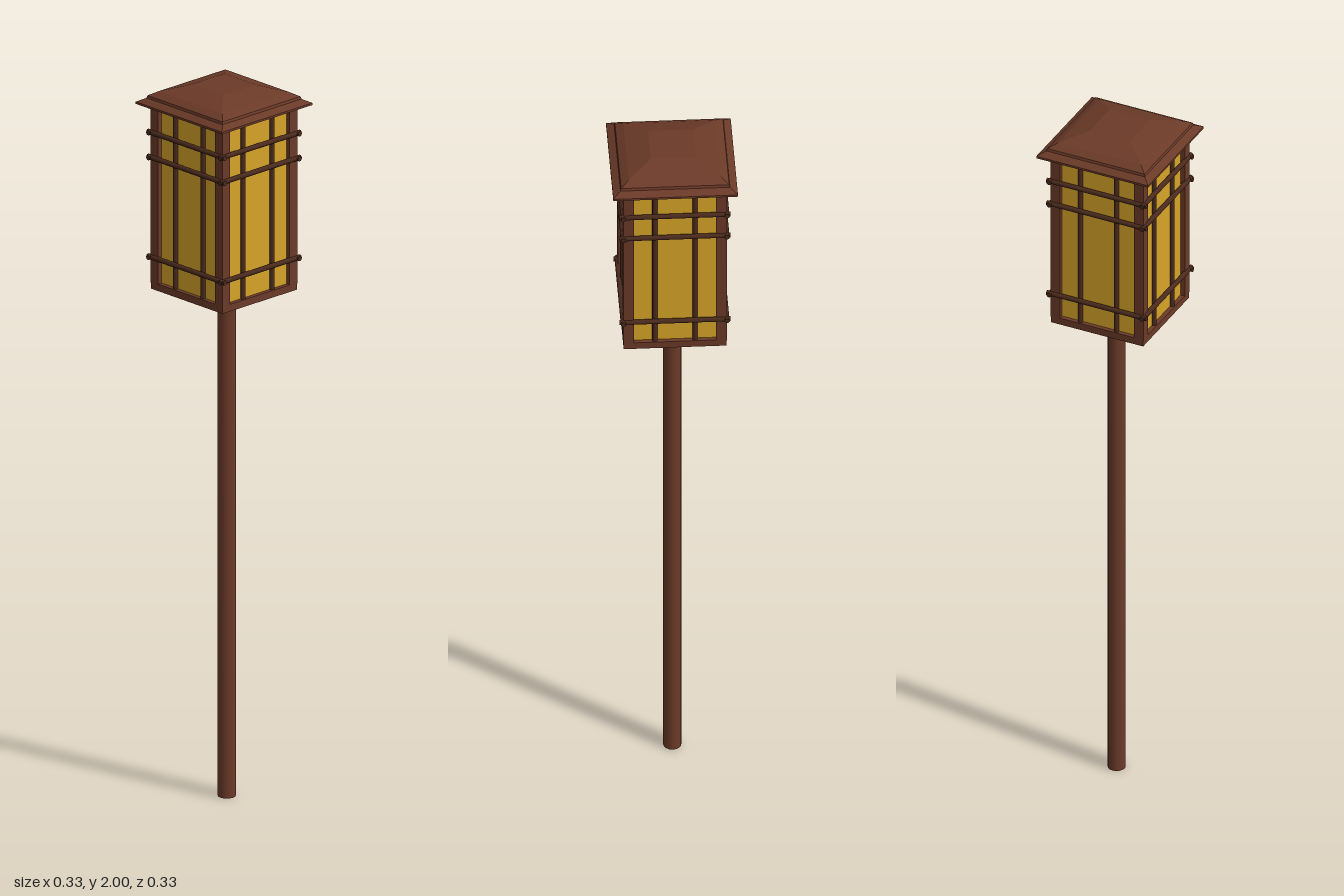
import * as THREE from 'three';

export function createModel() {
  const model = new THREE.Group();
  const wood = new THREE.MeshStandardMaterial({ color: 0x6b3a28, flatShading: true });
  const postWood = new THREE.MeshStandardMaterial({ color: 0x6b3a28 });
  const darkWood = new THREE.MeshStandardMaterial({ color: 0x4a2a1c });
  const amber = new THREE.MeshStandardMaterial({ color: 0xd6a428 });

  const add = (parent, name, geometry, material, x, y, z) => {
    const mesh = new THREE.Mesh(geometry, material);
    mesh.name = name;
    mesh.position.set(x, y, z);
    parent.add(mesh);
    return mesh;
  };

  // Round pole
  add(model, 'pole', new THREE.CylinderGeometry(0.024, 0.024, 1.43, 16), postWood, 0.01, 0.715, 0);

  // Lantern base plate and glowing panes
  add(model, 'basePlate', new THREE.BoxGeometry(0.272, 0.02, 0.272), wood, 0, 1.435, 0);
  add(model, 'panes', new THREE.BoxGeometry(0.248, 0.5, 0.248), amber, 0, 1.692, 0);

  // Corner posts
  for (const x of [-1, 1]) for (const z of [-1, 1]) {
    add(model, 'cornerPost', new THREE.BoxGeometry(0.028, 0.5, 0.028), wood, x * 0.123, 1.693, z * 0.123);
  }

  // Lattice bars, repeated on the four faces
  for (let i = 0; i < 4; i++) {
    const face = new THREE.Group();
    face.name = 'latticeFace';
    face.rotation.y = i * Math.PI / 2;
    for (const x of [-0.053, 0.053]) {
      add(face, 'uprightBar', new THREE.CylinderGeometry(0.007, 0.007, 0.5, 10), darkWood, x, 1.693, 0.127);
    }
    for (const y of [1.515, 1.795, 1.865]) {
      const bar = add(face, 'crossBar', new THREE.CylinderGeometry(0.007, 0.007, 0.294, 10), darkWood, 0, y, 0.137);
      bar.rotation.z = Math.PI / 2;
    }
    model.add(face);
  }

  // Square hipped roof with flared eaves, from half-width and height pairs
  const profile = [[0, 1.935], [0.14, 1.935], [0.165, 1.944], [0.165, 1.95], [0.145, 1.961],
    [0.143, 1.968], [0.122, 1.98], [0.06, 2], [0, 2]]
    .map(([w, y]) => new THREE.Vector2(w * Math.SQRT2, y));
  add(model, 'roof', new THREE.LatheGeometry(profile, 4, Math.PI / 4), wood, 0, 0, 0);

  return model;
}
